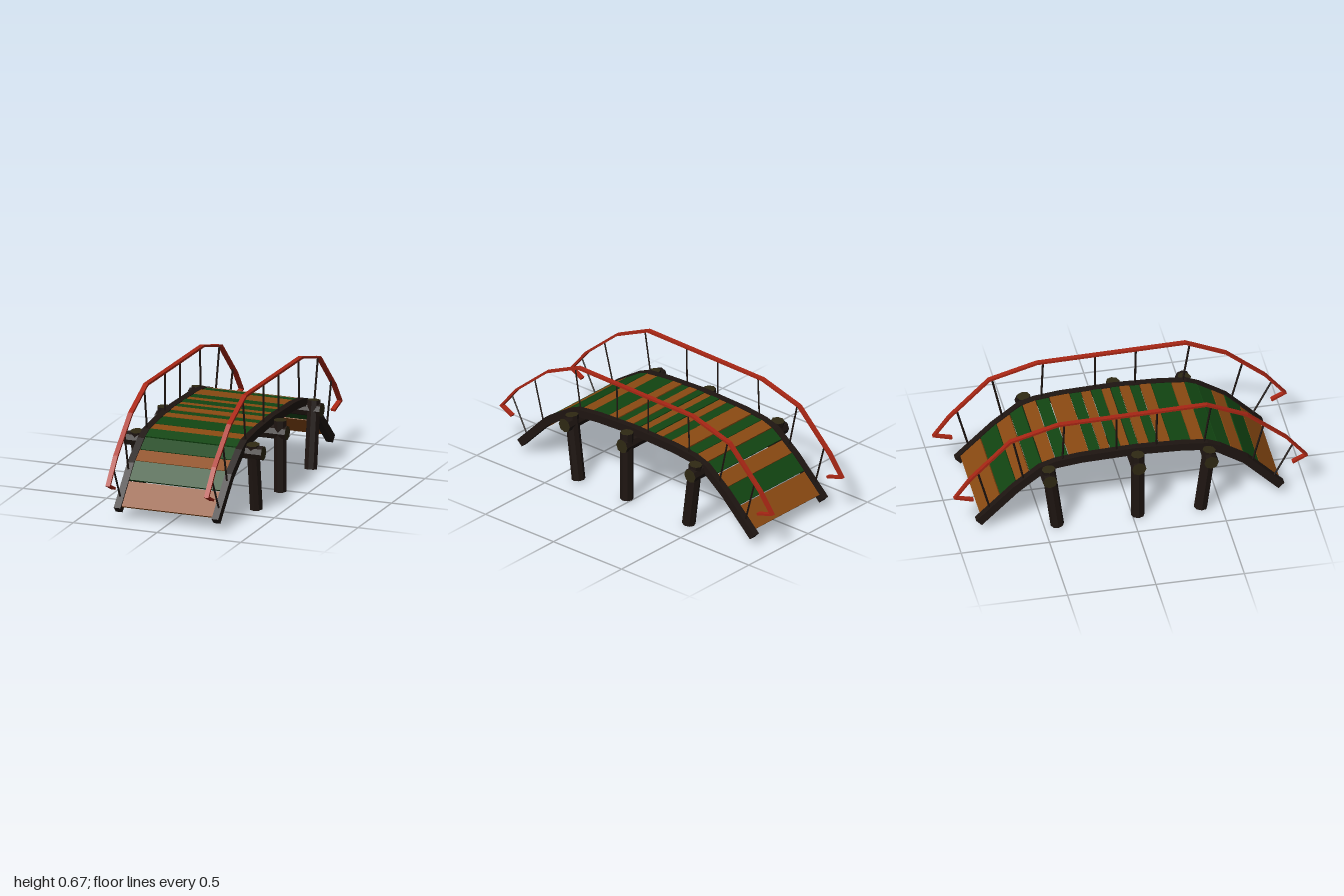
import * as THREE from 'three';

const mat = (color) => new THREE.MeshStandardMaterial({ color, flatShading: true });
const V = (x, y, z) => new THREE.Vector3(x, y, z);

// Band of even thickness following a [z, y] path, extruded across x
function band(path, thickness, width) {
  const upper = [], lower = [];
  path.forEach((p, i) => {
    const dirs = [];
    if (i > 0) dirs.push(new THREE.Vector2(p[0] - path[i - 1][0], p[1] - path[i - 1][1]).normalize());
    if (i < path.length - 1) dirs.push(new THREE.Vector2(path[i + 1][0] - p[0], path[i + 1][1] - p[1]).normalize());
    const d = dirs.reduce((a, b) => a.clone().add(b)).normalize();
    const h = thickness / 2 / Math.max(0.7, d.dot(dirs[0]));
    upper.push(new THREE.Vector2(p[0] - d.y * h, p[1] + d.x * h));
    lower.unshift(new THREE.Vector2(p[0] + d.y * h, p[1] - d.x * h));
  });
  const geo = new THREE.ExtrudeGeometry(new THREE.Shape([...upper, ...lower]), { depth: width, bevelEnabled: false });
  return geo.translate(0, 0, -width / 2).rotateY(-Math.PI / 2);
}

// Straight round piece from a to b; caps may have their own material
function rod(a, b, radius, sides, material) {
  const dir = b.clone().sub(a);
  const mesh = new THREE.Mesh(new THREE.CylinderGeometry(radius, radius, dir.length(), sides), material);
  mesh.position.copy(a).add(b).multiplyScalar(0.5);
  mesh.quaternion.setFromUnitVectors(V(0, 1, 0), dir.normalize());
  return mesh;
}

export function createModel() {
  const bridge = new THREE.Group();
  bridge.name = 'archedFootbridge';
  const wood = mat(0x1e1511), cut = mat(0x2f2913), red = mat(0xa82614);
  const orange = mat(0x8b4a12), green = mat(0x124512);
  const add = (name, mesh, x = 0) => {
    mesh.name = name;
    mesh.position.x += x;
    bridge.add(mesh);
  };

  // Centre line of the arch, [z, y]
  const arch = [[-0.86, 0.045], [-0.65, 0.245], [-0.505, 0.355], [-0.42, 0.382], [-0.28, 0.398],
    [0.03, 0.408], [0.28, 0.398], [0.43, 0.382], [0.5, 0.352], [0.65, 0.255], [0.85, 0.05]];
  const archY = (z) => {
    let i = 1;
    while (i < arch.length - 1 && arch[i][0] < z) i++;
    const [a, b] = [arch[i - 1], arch[i]];
    return a[1] + (b[1] - a[1]) * (z - a[0]) / (b[0] - a[0]);
  };

  // Deck planks, each a thin slab with slightly uneven edges
  const edges = [-0.845, -0.73, -0.64, -0.565, -0.495, -0.42, -0.345, -0.23, -0.165, -0.11, -0.05, 0,
    0.05, 0.11, 0.165, 0.23, 0.345, 0.42, 0.49, 0.57, 0.64, 0.73, 0.845];
  const colors = 'OGOGOGOGOGOGOGOGOGGOGO';
  for (let i = 0; i < colors.length; i++) {
    const z0 = edges[i] + 0.002, z1 = edges[i + 1] - 0.002;
    const lift = 0.014 + 0.002 * Math.sin(i * 2.3);
    const geo = band([[z0, archY(z0) + lift], [z1, archY(z1) + lift]], 0.012, 0.56);
    add('plank', new THREE.Mesh(geo, colors[i] === 'O' ? orange : green));
  }

  // Handrail with turned-back ends, and the balusters as [topZ, topY, bottomZ, bottomY]
  const rail = [[-0.89, 0.2], [-0.992, 0.228], [-0.905, 0.345], [-0.68, 0.567], [-0.41, 0.643],
    [0.43, 0.658], [0.66, 0.555], [0.88, 0.37], [0.993, 0.232], [0.915, 0.193]];
  const balusters = [[0.92, 0.32, 0.815, 0.12], [0.755, 0.48, 0.69, 0.235], [0.455, 0.645, 0.415, 0.4],
    [0.15, 0.652, 0.145, 0.41], [-0.08, 0.648, -0.08, 0.41], [-0.375, 0.643, -0.385, 0.4],
    [-0.665, 0.57, -0.605, 0.3], [-0.865, 0.385, -0.795, 0.125]];

  // Trestles: [log z, log y, leg top y, leg bottom z]
  const trestles = [[0.435, 0.34, 0.385, 0.385], [0.03, 0.34, 0.412, 0.03], [-0.475, 0.33, 0.385, -0.425]];

  for (const s of [-1, 1]) {
    add('sideBeam', new THREE.Mesh(band(arch, 0.046, 0.04), wood), s * 0.292);
    add('handrail', new THREE.Mesh(band(rail, 0.013, 0.027), red), s * 0.294);
    for (const [tz, ty, bz, by] of balusters) {
      add('baluster', rod(V(s * 0.294, by, bz), V(s * 0.294, ty, tz), 0.006, 4, wood));
    }
    for (const [z, , top, footZ] of trestles) {
      add('leg', rod(V(s * 0.347, 0, footZ), V(s * 0.347, top, z), 0.038, 8, [wood, cut, wood]));
    }
  }

  // Cross logs carrying the deck
  trestles.forEach(([z, y], i) => {
    const end = [0.41, 0.39, 0.395][i];
    add('crossLog', rod(V(-end, y, z), V(end, y, z), 0.041, 8, [wood, cut, cut]));
  });
  return bridge;
}
